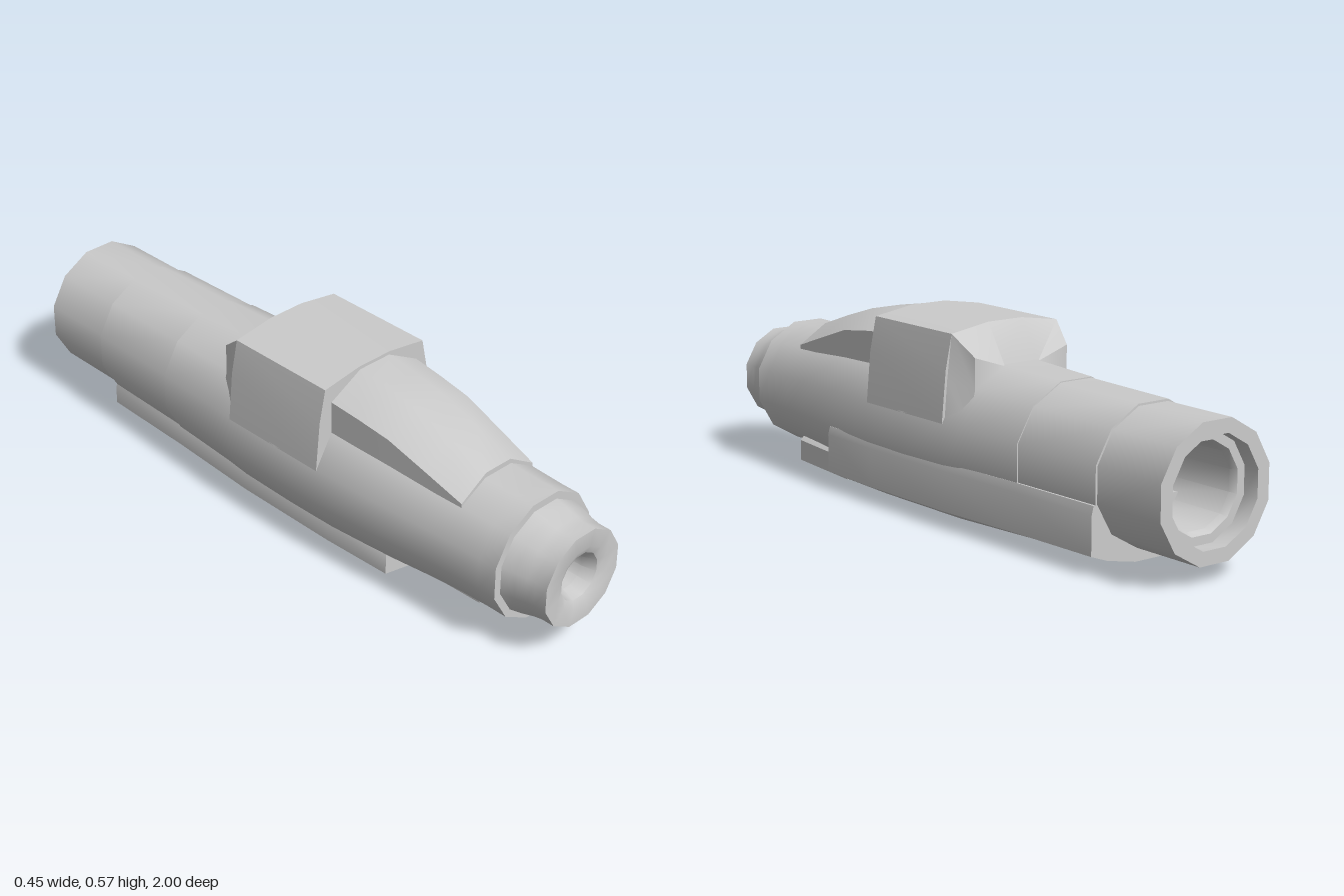
import * as THREE from 'three';
import { toCreasedNormals } from 'three/addons/utils/BufferGeometryUtils.js';

const material = new THREE.MeshStandardMaterial({ color: 0xcccccc });
const CENTRE_Y = 0.243;

function addMesh(group, name, geometry) {
  const mesh = new THREE.Mesh(toCreasedNormals(geometry, 0.6), material);
  mesh.name = name;
  group.add(mesh);
  return mesh;
}

// Right half of an outline, listed bottom to top, completed by its mirror image
const mirrored = (half) => [...half, ...half.map(([x, y]) => [-x, y]).reverse()];

// Capped solid through cross-sections [z, outline], back to front, outlines counter-clockwise
function loft(sections) {
  const positions = [];
  const tri = (a, b, c) => positions.push(...a, ...b, ...c);
  const rings = sections.map(([z, pts]) => pts.map(([x, y]) => [x, y, z]));
  const n = rings[0].length;
  for (let s = 0; s < rings.length - 1; s++) {
    const a = rings[s], b = rings[s + 1];
    for (let i = 0; i < n; i++) {
      const j = (i + 1) % n;
      tri(a[i], a[j], b[j]);
      tri(a[i], b[j], b[i]);
    }
  }
  [rings[0], rings[rings.length - 1]].forEach((ring, end) => {
    const flat = ring.map(([x, y]) => new THREE.Vector2(x, y));
    for (const [i, j, k] of THREE.ShapeUtils.triangulateShape(flat, [])) {
      if (end) tri(ring[i], ring[j], ring[k]);
      else tri(ring[i], ring[k], ring[j]);
    }
  });
  const geometry = new THREE.BufferGeometry();
  geometry.setAttribute('position', new THREE.Float32BufferAttribute(positions, 3));
  return geometry;
}

export function createModel() {
  const group = new THREE.Group();
  group.name = 'casing';

  // Twelve-sided barrel with a stepped rear socket and a front bore: [flat radius, z]
  const profile = [
    [0, -0.6], [0.11, -0.6], [0.115, -0.93], [0.125, -0.95], [0.15, -0.95], [0.15, -1],
    [0.19, -1], [0.191, -0.76], [0.197, -0.76], [0.203, -0.45], [0.206, -0.45],
    [0.216, -0.22], [0.222, -0.14], [0.224, 0.05], [0.222, 0.22], [0.21, 0.43],
    [0.195, 0.6], [0.188, 0.7], [0.185, 0.8], [0.185, 0.86], [0.163, 0.86],
    [0.155, 0.9], [0.146, 0.935], [0.142, 0.96], [0.142, 1],
    [0.092, 1], [0.07, 0.99], [0.056, 0.95], [0.056, 0.6], [0, 0.6],
  ].map(([r, z]) => new THREE.Vector2(r / Math.cos(Math.PI / 12), z));
  const barrel = new THREE.LatheGeometry(profile, 12, Math.PI / 12);
  barrel.rotateX(Math.PI / 2);
  barrel.translate(0, CENTRE_Y, 0);
  addMesh(group, 'barrel', barrel);

  // Raised block across the middle, sloping down to the barrel behind
  const blockOutline = mirrored([[0.224, 0.3], [0.21, 0.45], [0.189, 0.55], [0.06, 0.57]]);
  addMesh(group, 'topBlock', loft([[-0.14, blockOutline], [0.22, blockOutline]]));
  addMesh(group, 'rearSlope', loft([
    [-0.215, mirrored([[0.19, 0.3], [0.165, 0.4], [0.165, 0.49], [0.06, 0.455]])],
    [-0.14, mirrored([[0.215, 0.3], [0.205, 0.42], [0.189, 0.55], [0.06, 0.57]])],
  ]));

  // Tapering ridge in front of the block
  addMesh(group, 'frontRidge', loft([
    [0.22, 0.165, 0.5, 0.56], [0.32, 0.161, 0.49, 0.549], [0.43, 0.156, 0.475, 0.53],
    [0.56, 0.148, 0.433, 0.491], [0.69, 0.14, 0.39, 0.447],
  ].map(([z, x, shoulder, top]) => [
    z, mirrored([[x, 0.3], [x, shoulder - 0.03], [x, shoulder], [x * 0.34, top]]),
  ])));

  // Underside keel, with a wider flange on the left
  const keel = (wide, lift) => [
    [-0.1, 0.18], [-0.16 * wide, 0.09], [-0.16 * wide, 0.02 + lift], [-0.055, lift],
    [0.055, lift], [0.165 * wide, 0.02 + lift], [0.225 * wide, 0.05 + lift * 0.3],
    [0.225 * wide, 0.165], [0.218 * wide, 0.19], [0.1, 0.2],
  ];
  addMesh(group, 'keel', loft([
    [-0.76, keel(0.93, 0.014)], [-0.45, keel(0.95, 0.008)], [-0.15, keel(1, 0)],
    [0.2, keel(1, 0)], [0.43, keel(0.97, 0.004)],
  ]));

  // Narrow forward end of the keel
  const toe = (x, lift, top) => [
    [-0.05, 0.12], [-0.05, lift], [0.055, lift], [x, 0.015 + lift],
    [x, top - 0.02], [x - 0.02, top], [0.05, 0.14],
  ];
  addMesh(group, 'keelToe', loft([[0.42, toe(0.157, 0.004, 0.1)], [0.69, toe(0.145, 0.012, 0.11)]]));

  return group;
}
